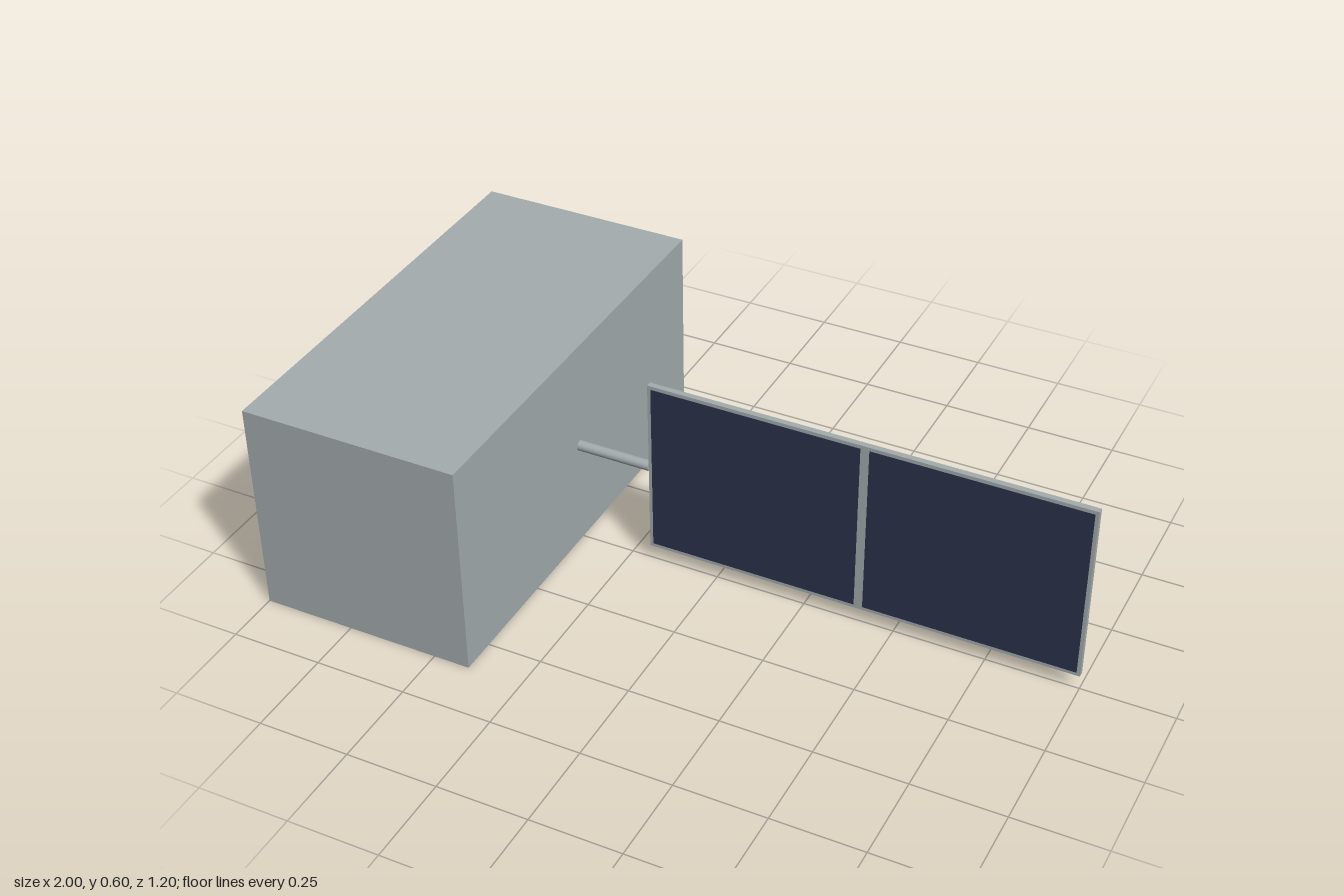
import * as THREE from 'three';

export function createModel() {
  const model = new THREE.Group();
  const material = (name, color) => {
    const m = new THREE.MeshStandardMaterial({ color });
    m.name = name;
    return m;
  };
  const hullGrey = material('hull grey', 0xa4acae);
  const cellBlue = material('cell navy', 0x2c324d);

  const add = (name, geometry, mat, x, y, z) => {
    const mesh = new THREE.Mesh(geometry, mat);
    mesh.name = name;
    mesh.position.set(x, y, z);
    model.add(mesh);
    return mesh;
  };

  // Main body block
  add('body', new THREE.BoxGeometry(0.6, 0.6, 1.2), hullGrey, -0.7, 0.3, 0);

  // Round boom between the body and the panel
  const boom = add('boom', new THREE.CylinderGeometry(0.0145, 0.0145, 0.21, 16), hullGrey, -0.298, 0.3, 0);
  boom.rotation.z = Math.PI / 2;

  // Solar panel frame
  add('panelFrame', new THREE.BoxGeometry(1.193, 0.51, 0.016), hullGrey, 0.4035, 0.3, 0);

  // Two dark cells laid on the front of the frame
  for (const side of [-1, 1]) {
    add(side < 0 ? 'innerCell' : 'outerCell',
      new THREE.BoxGeometry(0.575, 0.49, 0.002), cellBlue, 0.4035 + side * 0.2995, 0.3, 0.008);
  }
  return model;
}
